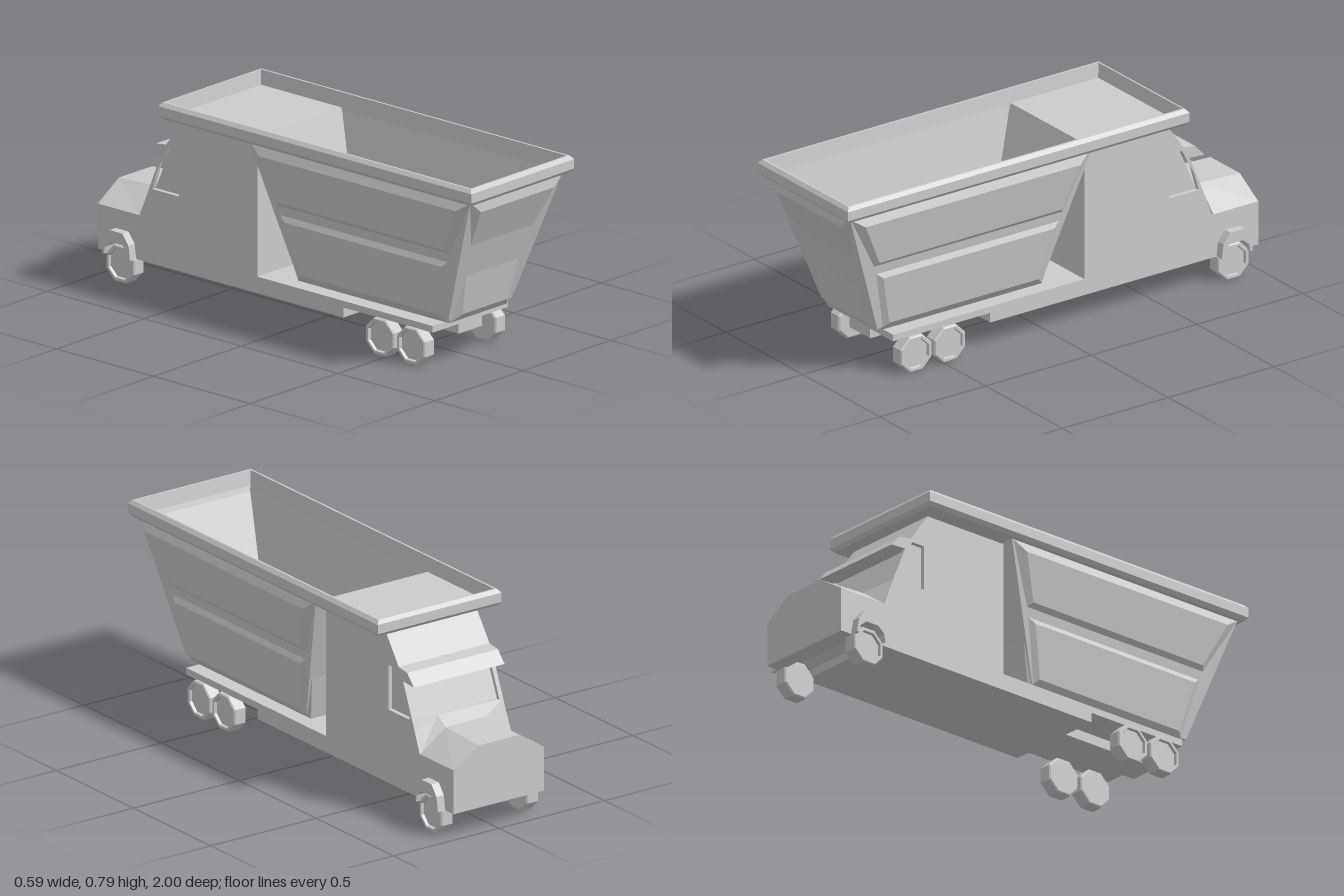
import * as THREE from 'three';

const grey = new THREE.MeshStandardMaterial({ color: 0xcccccc, flatShading: true });
const greyBoth = new THREE.MeshStandardMaterial({ color: 0xcccccc, flatShading: true, side: THREE.DoubleSide });

function add(parent, name, geometry, material = grey) {
  const mesh = new THREE.Mesh(geometry, material);
  mesh.name = name;
  parent.add(mesh);
  return mesh;
}

// Block given by its limits on each axis
function block(x0, x1, y0, y1, z0, z1) {
  return new THREE.BoxGeometry(x1 - x0, y1 - y0, z1 - z0)
    .translate((x0 + x1) / 2, (y0 + y1) / 2, (z0 + z1) / 2);
}

// Side outline of [z, y] points extruded from x0 to x1
function sideExtrude(outline, x0, x1, hole) {
  const toPoints = list => list.map(([z, y]) => new THREE.Vector2(z, y));
  const shape = new THREE.Shape(toPoints(outline));
  if (hole) shape.holes.push(new THREE.Path(toPoints(hole)));
  return new THREE.ExtrudeGeometry(shape, { depth: x1 - x0, bevelEnabled: false })
    .rotateY(-Math.PI / 2).translate(x1, 0, 0);
}

// Faceted skin over successive closed rings of [x, y, z] points
function loft(rings, capFirst, capLast) {
  const p = [];
  const n = rings[0].length;
  for (let k = 0; k + 1 < rings.length; k++) {
    const a = rings[k], b = rings[k + 1];
    for (let i = 0; i < n; i++) {
      const j = (i + 1) % n;
      p.push(...a[i], ...a[j], ...b[j], ...a[i], ...b[j], ...b[i]);
    }
  }
  const first = rings[0], last = rings[rings.length - 1];
  for (let i = 1; i + 1 < n; i++) {
    if (capFirst) p.push(...first[0], ...first[i + 1], ...first[i]);
    if (capLast) p.push(...last[0], ...last[i], ...last[i + 1]);
  }
  const g = new THREE.BufferGeometry();
  g.setAttribute('position', new THREE.Float32BufferAttribute(p, 3));
  g.computeVertexNormals();
  return g;
}

// Horizontal rectangle, counter-clockwise from above
const rect = (x, y, z0, z1) => [[x, y, z1], [x, y, z0], [-x, y, z0], [-x, y, z1]];

// Raised bevelled panel on a quad: bottom a-b, top d-c
function raisedPanel(corners, side, rise, height) {
  const [a, b, c, d] = corners.map(v => new THREE.Vector3(...v));
  const normal = b.clone().sub(a).cross(d.clone().sub(a)).normalize();
  const inset = (p, across, up) => {
    const u = across.clone().sub(p).setLength(side);
    const v = up.clone().sub(p).setLength(rise);
    return p.clone().add(u).add(v).addScaledVector(normal, height).toArray();
  };
  const top = [inset(a, b, d), inset(b, a, c), inset(c, d, b), inset(d, c, a)];
  return loft([corners, top], false, true);
}

function buildDumpBox() {
  const box = new THREE.Group();
  box.name = 'dumpBox';
  const bottom = rect(0.165, 0.18, -0.01, 0.77);
  const middle = rect(0.21, 0.47, -0.08, 0.84);
  const top = rect(0.262, 0.73, -0.17, 0.97);
  add(box, 'hull', loft([bottom, middle, top], true, false), greyBoth);

  // Two tiers of panels on both sides and the tailgate
  [[bottom, middle, 'lower'], [middle, top, 'upper']].forEach(([lo, hi, tier]) => {
    [[0, 'LeftPanel'], [2, 'RightPanel'], [3, 'TailPanel']].forEach(([i, label]) => {
      const j = (i + 1) % 4;
      add(box, tier + label, raisedPanel([lo[i], lo[j], hi[j], hi[i]], 0.046, 0.042, 0.025), greyBoth);
    });
  });

  // Chamfered rim, load shelf over the cab and sloping inside
  add(box, 'rim', loft([
    rect(0.262, 0.727, -0.59, 0.97),
    rect(0.28, 0.727, -0.603, 0.987),
    rect(0.293, 0.742, -0.616, 1),
    rect(0.293, 0.78, -0.616, 1),
    rect(0.281, 0.795, -0.604, 0.988),
    rect(0.272, 0.795, -0.597, 0.98),
    rect(0.265, 0.735, -0.59, 0.97),
  ], false, false), greyBoth);
  add(box, 'shelf', block(-0.267, 0.267, 0.727, 0.736, -0.592, -0.177));
  add(box, 'inside', loft([
    rect(0.265, 0.736, -0.177, 0.97),
    rect(0.18, 0.2, 0, 0.78),
  ], false, true), greyBoth);
  return box;
}

function buildCab() {
  const cab = new THREE.Group();
  cab.name = 'cab';
  const lower = [
    [-0.78, 0.285], [-0.998, 0.285], [-0.998, 0.105], [-0.935, 0.105], [-0.93, 0.135], [-0.9, 0.16],
    [-0.84, 0.16], [-0.81, 0.135], [-0.805, 0.105], [-0.175, 0.105], [-0.175, 0.72], [-0.56, 0.72], [-0.645, 0.6],
  ];
  const outline = [...lower, [-0.655, 0.59], [-0.735, 0.4]];
  const windowHole = [[-0.578, 0.405], [-0.578, 0.587], [-0.638, 0.587], [-0.675, 0.545], [-0.716, 0.405]];

  // Core with the windscreen set back, and side skins with window openings
  add(cab, 'core', sideExtrude([...lower, [-0.635, 0.59], [-0.718, 0.4], [-0.735, 0.4]], -0.197, 0.197));
  add(cab, 'leftSide', sideExtrude(outline, 0.197, 0.215, windowHole));
  add(cab, 'rightSide', sideExtrude(outline, -0.215, -0.197, windowHole));
  add(cab, 'visor', sideExtrude(
    [[-0.63, 0.602], [-0.7, 0.592], [-0.743, 0.545], [-0.7, 0.548], [-0.66, 0.55]], -0.215, 0.215));

  // Hood with sloping shoulders, rising into the cowl
  const section = (z, sideY, topY) =>
    [[-0.215, sideY, z], [-0.095, topY, z], [0.095, topY, z], [0.215, sideY, z]];
  add(cab, 'hood', loft([
    section(-0.733, 0.4, 0.404), section(-0.785, 0.285, 0.37), section(-0.998, 0.285, 0.36),
  ], true, true), greyBoth);

  // Arched front fenders
  const arch = [
    [-0.8, 0.105], [-0.808, 0.165], [-0.84, 0.207], [-0.905, 0.207], [-0.937, 0.165], [-0.947, 0.105],
    [-0.935, 0.105], [-0.93, 0.135], [-0.9, 0.16], [-0.84, 0.16], [-0.81, 0.135], [-0.805, 0.105],
  ];
  add(cab, 'leftFender', sideExtrude(arch, 0.21, 0.25));
  add(cab, 'rightFender', sideExtrude(arch, -0.25, -0.21));
  return cab;
}

function buildWheels() {
  const wheels = new THREE.Group();
  wheels.name = 'wheels';
  // Octagonal tyre with a recessed hub
  const profile = [[0, -0.029], [0.072, -0.029], [0.079, -0.024], [0.079, 0.024], [0.074, 0.029],
    [0.063, 0.029], [0.06, 0.017], [0, 0.017]].map(([r, y]) => new THREE.Vector2(r, y));
  for (const z of [0.63, 0.47, -0.87]) {
    for (const side of [1, -1]) {
      const g = new THREE.LatheGeometry(profile, 8).rotateY(Math.PI / 8)
        .rotateZ(-side * Math.PI / 2).translate(side * 0.202, 0.073, z);
      add(wheels, (z < 0 ? 'front' : 'rear') + (side > 0 ? 'Left' : 'Right') + 'Wheel', g);
    }
  }
  return wheels;
}

export function createModel() {
  const truck = new THREE.Group();
  truck.name = 'dumpTruck';

  // Chassis: deck, full-width frame, narrow beam between the rear wheels
  const chassis = new THREE.Group();
  chassis.name = 'chassis';
  add(chassis, 'deck', block(-0.215, 0.215, 0.145, 0.172, -0.18, 0.73));
  add(chassis, 'frame', block(-0.215, 0.215, 0.105, 0.146, -0.18, 0.27));
  add(chassis, 'rearBeam', block(-0.067, 0.067, 0.105, 0.146, 0.26, 0.73));

  truck.add(chassis, buildCab(), buildDumpBox(), buildWheels());
  return truck;
}
